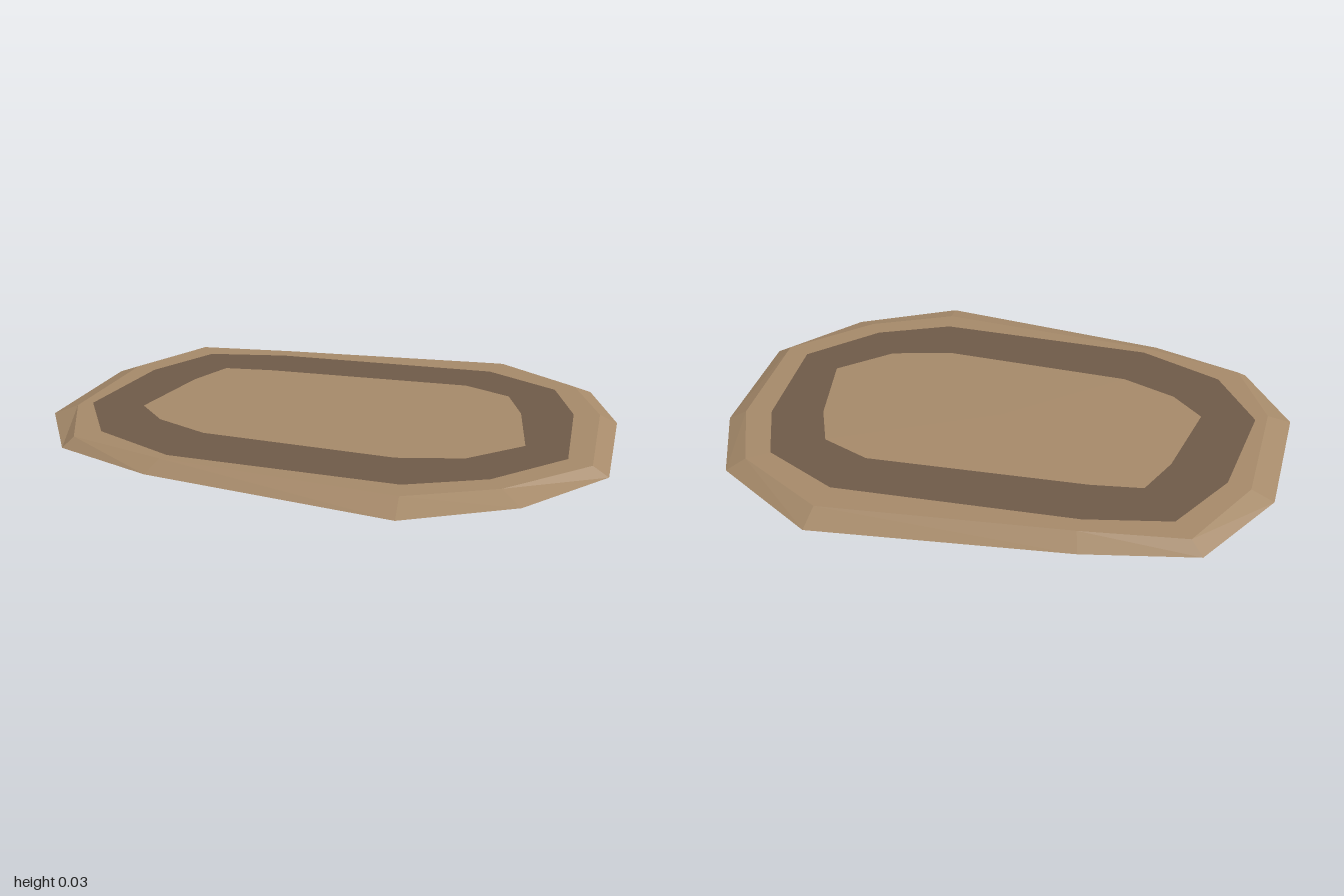
import * as THREE from 'three';

const HEIGHT = 0.03;

// Four nested twelve-sided outlines, as [x, z] corners, clockwise from the left when seen from above
const base = [[-1, -0.25], [-0.82, -0.615], [-0.44, -0.705], [0.43, -0.82], [0.82, -0.57], [0.96, -0.25],
  [1, 0.275], [0.78, 0.605], [0.44, 0.815], [-0.43, 0.715], [-0.8, 0.585], [-1, 0.28]];
const rim = [[-0.92, -0.24], [-0.775, -0.57], [-0.42, -0.625], [0.43, -0.725], [0.765, -0.525], [0.9, -0.235],
  [0.945, 0.265], [0.705, 0.545], [0.42, 0.7], [-0.41, 0.64], [-0.775, 0.545], [-0.92, 0.25]];
const bandOuter = [[-0.84, -0.22], [-0.71, -0.49], [-0.42, -0.56], [0.42, -0.61], [0.7, -0.465], [0.81, -0.21],
  [0.86, 0.23], [0.655, 0.48], [0.4, 0.61], [-0.4, 0.605], [-0.71, 0.47], [-0.88, 0.21]];
const bandInner = [[-0.64, -0.16], [-0.58, -0.33], [-0.4, -0.36], [0.37, -0.41], [0.55, -0.335], [0.63, -0.16],
  [0.705, 0.155], [0.54, 0.33], [0.32, 0.395], [-0.37, 0.375], [-0.57, 0.295], [-0.69, 0.18]];

// Strip of faces joining two outlines; a single-point inner outline makes a cap
function ring(outer, yOuter, inner, yInner) {
  const positions = [];
  const corner = (loop, i, y) => {
    const [x, z] = loop[i % loop.length];
    return [x, y, z];
  };
  for (let i = 0; i < outer.length; i++) {
    const a = corner(outer, i, yOuter), b = corner(outer, i + 1, yOuter);
    const c = corner(inner, i, yInner), d = corner(inner, i + 1, yInner);
    if (inner.length > 1) positions.push(...a, ...c, ...d);
    positions.push(...a, ...d, ...b);
  }
  const geometry = new THREE.BufferGeometry();
  geometry.setAttribute('position', new THREE.Float32BufferAttribute(positions, 3));
  geometry.computeVertexNormals();
  return geometry;
}

export function createModel() {
  const material = (name, color) =>
    new THREE.MeshStandardMaterial({ name, color, flatShading: true, side: THREE.DoubleSide });
  const tan = material('tan earth', 0xa68a6a);
  const brown = material('dark brown earth', 0x6f5b48);

  const group = new THREE.Group();
  group.name = 'dirtPatch';
  const add = (name, geometry, mat) => {
    const mesh = new THREE.Mesh(geometry, mat);
    mesh.name = name;
    group.add(mesh);
  };

  // Open-bottomed shell: sloped edge, flat border, dark band and middle
  add('slopedEdge', ring(base, 0, rim, HEIGHT), tan);
  add('flatBorder', ring(rim, HEIGHT, bandOuter, HEIGHT), tan);
  add('darkBand', ring(bandOuter, HEIGHT, bandInner, HEIGHT), brown);
  add('middle', ring(bandInner, HEIGHT, [[0, 0]], HEIGHT), tan);
  return group;
}
